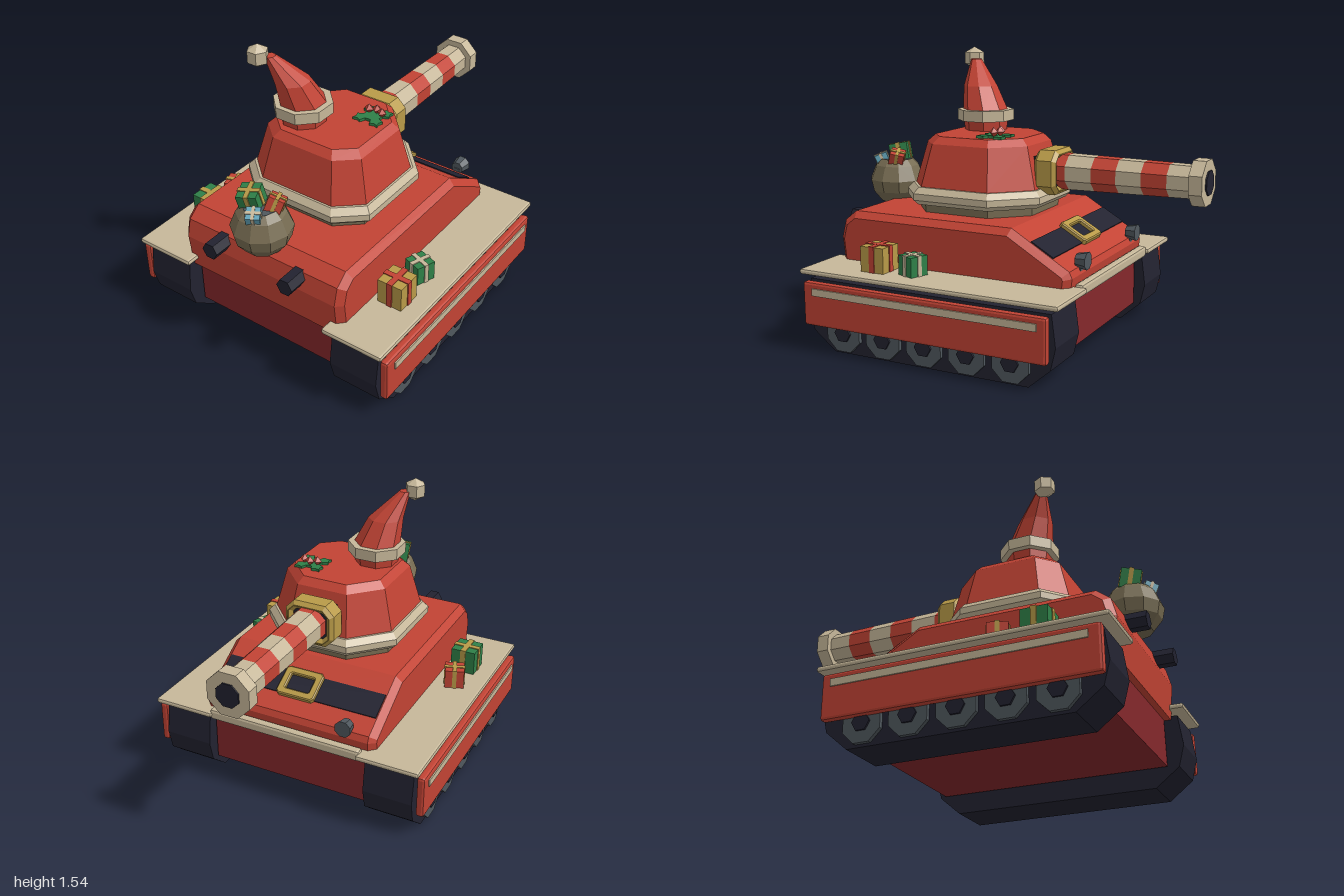
import * as THREE from 'three';
import { RoundedBoxGeometry } from 'three/addons/geometries/RoundedBoxGeometry.js';

const colours = {
  red: 0xc24334, darkRed: 0x84282b, cream: 0xc6b799, navy: 0x222230, steel: 0x50585e,
  gold: 0xb89a48, green: 0x2f8048, sack: 0x776c52, blue: 0x62a3b8,
};

export function createModel() {
  const model = new THREE.Group();
  model.name = 'festiveTank';
  const mats = {};
  for (const [name, hex] of Object.entries(colours)) {
    mats[name] = new THREE.MeshStandardMaterial({ color: hex });
    mats[name].name = name;
  }

  // ---- helpers ----
  const flat = (g) => {
    const f = g.index ? g.toNonIndexed() : g;
    f.computeVertexNormals();
    return f;
  };
  const add = (name, colour, geo, x = 0, y = 0, z = 0, parent = model) => {
    const m = new THREE.Mesh(flat(geo), mats[colour]);
    m.name = name;
    m.position.set(x, y, z);
    parent.add(m);
    return m;
  };
  const box = (w, h, d) => new THREE.BoxGeometry(w, h, d);
  const rbox = (w, h, d, r) => new RoundedBoxGeometry(w, h, d, 1, r);
  // cylinders along z (r0 at +z end) and along x
  const cylZ = (r0, r1, len, n, turn = 0) =>
    new THREE.CylinderGeometry(r0, r1, len, n).rotateY(turn).rotateX(Math.PI / 2);
  const cylX = (r, len, n, turn = 0) =>
    new THREE.CylinderGeometry(r, r, len, n).rotateY(turn).rotateZ(Math.PI / 2);
  // side profile of [z, y] points, extruded across x with bevelled sides
  const prism = (pts, width, b) => {
    const shape = new THREE.Shape(pts.map(([z, y]) => new THREE.Vector2(-z, y)));
    return new THREE.ExtrudeGeometry(shape, {
      depth: width - 2 * b, bevelEnabled: b > 0, bevelSize: b, bevelThickness: b,
      bevelOffset: -b, bevelSegments: 1,
    }).translate(0, 0, -(width - 2 * b) / 2).rotateY(Math.PI / 2);
  };
  // skin over rings of [x, y, z], counter-clockwise from above, lowest first
  const loft = (rings) => {
    const pos = [], n = rings[0].length;
    const tri = (...p) => p.forEach((v) => pos.push(...v));
    const mid = (r) => [0, 1, 2].map((k) => r.reduce((s, p) => s + p[k], 0) / n);
    const lo = rings[0], hi = rings[rings.length - 1];
    for (let i = 0; i < n; i++) {
      const j = (i + 1) % n;
      for (let k = 0; k + 1 < rings.length; k++) {
        const [a, b] = [rings[k], rings[k + 1]];
        tri(a[i], a[j], b[j]);
        tri(a[i], b[j], b[i]);
      }
      tri(mid(lo), lo[j], lo[i]);
      tri(mid(hi), hi[i], hi[j]);
    }
    const g = new THREE.BufferGeometry();
    g.setAttribute('position', new THREE.Float32BufferAttribute(pos, 3));
    return g;
  };
  // chamfered rectangular frame in the xy plane
  const chamfered = (Type, w, h, c) => new Type([
    [w - c, -h], [w, c - h], [w, h - c], [w - c, h], [c - w, h], [-w, h - c], [-w, c - h], [c - w, -h],
  ].map(([x, y]) => new THREE.Vector2(x, y)));
  const frame = (w, h, border, depth, c, b) => {
    const s = chamfered(THREE.Shape, w / 2, h / 2, c);
    s.holes.push(chamfered(THREE.Path, w / 2 - border, h / 2 - border, c * 0.4));
    return new THREE.ExtrudeGeometry(s, {
      depth: depth - 2 * b, bevelSize: b, bevelThickness: b, bevelOffset: -b, bevelSegments: 1,
    }).translate(0, 0, -(depth - 2 * b) / 2);
  };
  // wrapped box with two crossing ribbons
  const gift = (name, colour, ribbon, s, x, y, z, rx = 0, ry = 0, rz = 0) => {
    const g = new THREE.Group();
    g.name = name;
    add('giftBox', colour, box(s, s, s), 0, 0, 0, g);
    add('giftRibbon', ribbon, box(s * 0.22, s + 0.01, s + 0.01), 0, 0, 0, g);
    add('giftRibbon', ribbon, box(s + 0.01, s + 0.009, s * 0.22), 0, 0, 0, g);
    g.position.set(x, y, z);
    g.rotation.set(rx, ry, rz);
    model.add(g);
  };

  // ---- hull ----
  add('upperHull', 'red', prism([[0.8, 0.7], [0.87, 0.645], [0.895, 0.55], [0.875, 0.36], [-0.45, 0.36],
    [-0.465, 0.48], [-0.45, 0.513], [-0.134, 0.7]], 1, 0.035));
  add('lowerHull', 'darkRed', box(0.9, 0.28, 1.28), 0, 0.245, 0.2);
  add('frontBar', 'cream', rbox(0.88, 0.06, 0.05, 0.015), 0, 0.42, -0.49);

  // ---- running gear, fenders and fittings, mirrored ----
  for (const s of [1, -1]) {
    add('track', 'navy', prism([[0.77, 0], [0.9, 0.1], [0.932, 0.215], [0.91, 0.38], [-0.48, 0.38],
      [-0.502, 0.215], [-0.475, 0.1], [-0.36, 0]], 0.27, 0), s * 0.595);
    for (let i = 0; i < 5; i++) {
      const z = 0.7 - i * 0.243;
      add('wheel', 'steel', cylX(0.108, 0.03, 8, Math.PI / 8), s * 0.737, 0.115, z);
      add('wheelHub', 'navy', cylX(0.048, 0.04, 6), s * 0.742, 0.115, z);
    }
    add('sideSkirt', 'red', rbox(0.045, 0.235, 1.4, 0.014), s * 0.765, 0.258, 0.22);
    add('skirtStripe', 'cream', box(0.009, 0.038, 1.29), s * 0.79, 0.325, 0.215);
    add('fender', 'cream', rbox(0.345, 0.03, 1.485, 0.012), s * 0.598, 0.42, 0.212);
    add('headlight', 'steel', cylZ(0.035, 0.047, 0.06, 8, Math.PI / 8), s * 0.34, 0.545, -0.465);
    add('headlightStem', 'steel', box(0.03, 0.07, 0.03), s * 0.34, 0.51, -0.445);
    add('exhaust', 'navy', cylZ(0.047, 0.047, 0.13, 6, Math.PI / 6), s * 0.235, 0.612, 0.915);
  }

  // ---- belt and buckle on the sloped plate ----
  const belt = new THREE.Group();
  belt.name = 'belt';
  belt.position.set(0, 0.602, -0.297);
  belt.rotation.x = -0.523;
  model.add(belt);
  add('beltStrap', 'navy', box(0.92, 0.009, 0.14), 0, 0.003, 0, belt);
  add('beltBuckle', 'gold', frame(0.22, 0.17, 0.04, 0.035, 0.015, 0.006).rotateX(-Math.PI / 2), 0, 0.012, 0, belt);

  // ---- turret ----
  const outline = [[0.385, 0.26], [0.385, -0.18], [0.19, -0.385], [-0.19, -0.385],
    [-0.385, -0.18], [-0.385, 0.26], [-0.24, 0.385], [0.24, 0.385]];
  const turretRing = ([k, y]) => outline.map(([x, z]) => [x * k, y, 0.23 + z * k]);
  add('turretNeck', 'sack', loft([[0.85, 0.68], [0.85, 0.76]].map(turretRing)));
  add('turretTrim', 'cream', loft([[0.94, 0.745], [1, 0.77], [1, 0.805], [0.93, 0.837]].map(turretRing)));
  add('turretBody', 'red', loft([[0.91, 0.8], [0.9, 0.84], [0.755, 1.06], [0.66, 1.097]].map(turretRing)));

  // ---- gun ----
  const gunY = 0.922;
  add('mantletFrame', 'gold', frame(0.28, 0.235, 0.045, 0.125, 0.05, 0.02), 0, gunY, -0.152);
  add('mantletCore', 'navy', box(0.2, 0.16, 0.16), 0, gunY, -0.115);
  const cuts = [-0.17, -0.25, -0.395, -0.53, -0.665, -0.8, -0.93];
  const radius = (z) => 0.1 + (z + 0.17) * 0.015;
  for (let i = 0; i < 6; i++) {
    const [a, b] = [cuts[i], cuts[i + 1]];
    add('barrelBand', i % 2 ? 'cream' : 'red', cylZ(radius(a), radius(b), a - b, 8, Math.PI / 8), 0, gunY, (a + b) / 2);
  }
  add('muzzle', 'cream', cylZ(0.124, 0.124, 0.07, 8, Math.PI / 8), 0, gunY, -0.957);
  add('muzzleBore', 'navy', cylZ(0.066, 0.066, 0.009, 8, Math.PI / 8), 0, gunY, -0.9955);

  // ---- bent hat ----
  const hatRing = ([x, y, z, r]) => Array.from({ length: 8 }, (_, i) => {
    const a = (i + 0.5) * Math.PI / 4;
    return [x + r * Math.cos(a), y, z - r * Math.sin(a)];
  });
  add('hat', 'red', loft([[-0.13, 1.08, 0.335, 0.116], [-0.13, 1.2, 0.335, 0.126],
    [-0.158, 1.335, 0.382, 0.094], [-0.235, 1.475, 0.45, 0.03]].map(hatRing)));
  add('hatBrim', 'cream', loft([[-0.13, 1.15, 0.335, 0.156], [-0.13, 1.21, 0.335, 0.156]].map(hatRing)));
  add('hatPompom', 'cream', new THREE.SphereGeometry(0.063, 6, 3), -0.278, 1.478, 0.487);

  // ---- holly ----
  const leaf = new THREE.Shape([[0, -0.015], [0.03, -0.035], [0.045, -0.022], [0.075, -0.034], [0.085, -0.012], [0.105, 0],
    [0.085, 0.012], [0.075, 0.034], [0.045, 0.022], [0.03, 0.035], [0, 0.015]].map(([x, y]) => new THREE.Vector2(x, y)));
  for (let i = 0; i < 4; i++) {
    const g = new THREE.ExtrudeGeometry(leaf, { depth: 0.014, bevelEnabled: false }).rotateX(-Math.PI / 2);
    add('hollyLeaf', 'green', g, 0.15, 1.096 + i * 0.0005, 0.125).rotation.y = Math.PI / 4 + i * Math.PI / 2;
  }
  for (const [x, z] of [[0.115, 0.11], [0.153, 0.095], [0.193, 0.11]]) {
    add('hollyBerry', 'red', new THREE.OctahedronGeometry(0.027), x, 1.13, z);
  }

  // ---- sack of gifts ----
  const sackPts = [[0, 0.675], [0.095, 0.675], [0.143, 0.735], [0.158, 0.8], [0.125, 0.88], [0.09, 0.915]];
  add('sack', 'sack', new THREE.LatheGeometry(sackPts.map(([x, y]) => new THREE.Vector2(x, y)), 10, Math.PI / 10), 0, 0, 0.843);
  add('sackFilling', 'steel', new THREE.CylinderGeometry(0.088, 0.088, 0.02, 10), 0, 0.902, 0.843);
  gift('sackGift', 'green', 'gold', 0.105, -0.05, 0.94, 0.85, 0.2, 0.35, 0.08);
  gift('sackGift', 'red', 'gold', 0.08, 0.06, 0.925, 0.805, -0.25, 0.45, -0.25);
  gift('sackGift', 'blue', 'cream', 0.07, 0.025, 0.905, 0.925, 0.45, 0.5, -0.2);

  // ---- gifts on the fenders ----
  gift('fenderGift', 'green', 'gold', 0.138, -0.605, 0.5, 0.565);
  gift('fenderGift', 'red', 'gold', 0.105, -0.61, 0.486, 0.36, 0, 0.35);
  gift('fenderGift', 'gold', 'red', 0.138, 0.602, 0.5, 0.565);
  gift('fenderGift', 'green', 'cream', 0.105, 0.602, 0.486, 0.36, 0, -0.35);

  return model;
}
